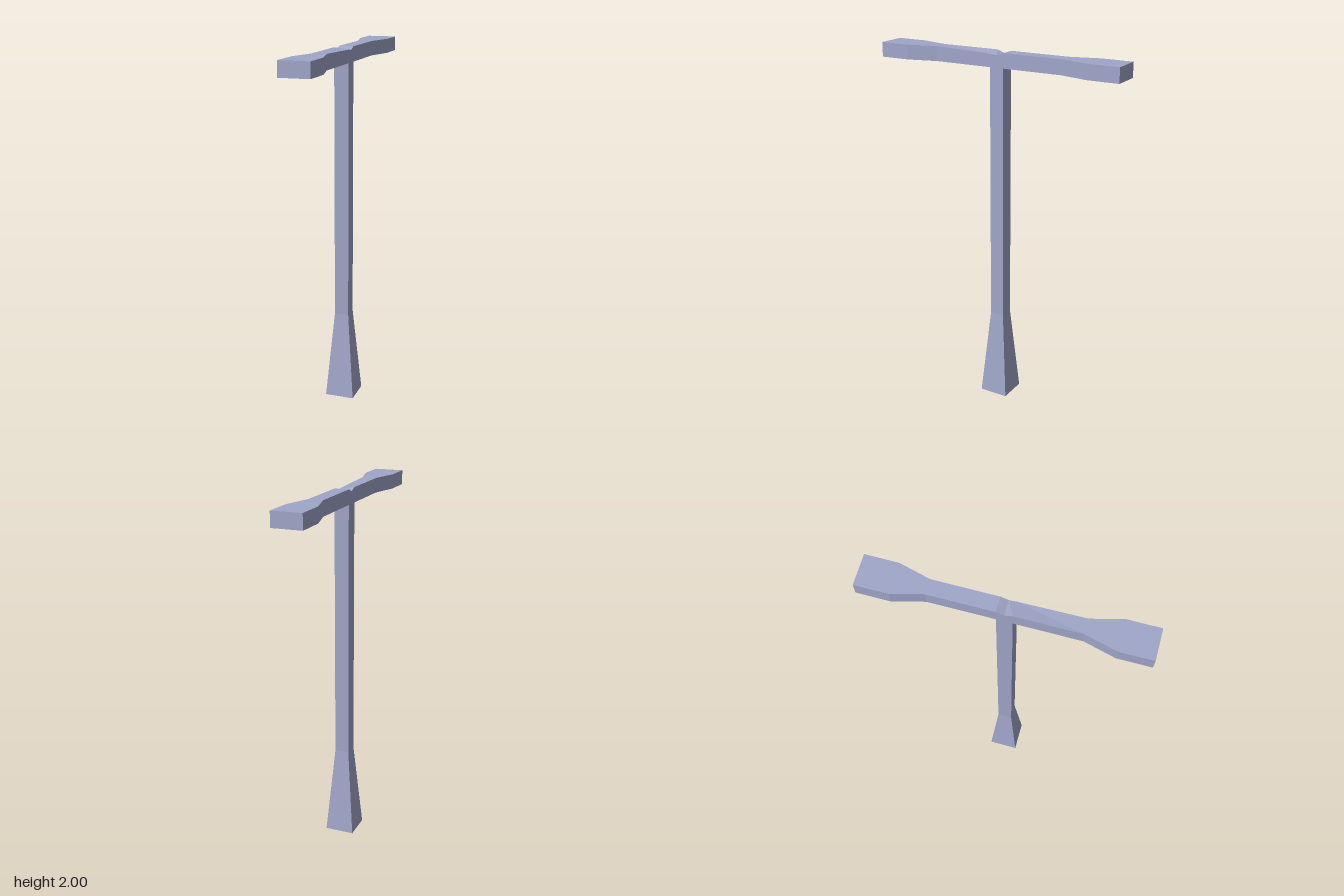
import * as THREE from 'three';

// Skin a list of four-cornered rings (counter-clockwise seen from the far end) and cap both ends
function loft(rings) {
  const pos = [];
  const quad = (a, b, c, d) => pos.push(...a, ...b, ...c, ...a, ...c, ...d);
  for (let r = 0; r < rings.length - 1; r++) {
    const a = rings[r], b = rings[r + 1];
    for (let i = 0; i < 4; i++) {
      const j = (i + 1) % 4;
      quad(a[i], a[j], b[j], b[i]);
    }
  }
  const first = rings[0], last = rings[rings.length - 1];
  quad(first[3], first[2], first[1], first[0]);
  quad(last[0], last[1], last[2], last[3]);
  const geo = new THREE.BufferGeometry();
  geo.setAttribute('position', new THREE.Float32BufferAttribute(pos, 3));
  geo.computeVertexNormals();
  return geo;
}

export function createModel() {
  const metal = new THREE.MeshStandardMaterial({ color: 0x9fa6c8 });
  metal.name = 'blue grey metal';
  const glass = new THREE.MeshStandardMaterial({ color: 0xc8c5bb });
  glass.name = 'warm grey glass';

  const group = new THREE.Group();
  group.name = 'streetLamp';
  const add = (name, geo, mat) => {
    const mesh = new THREE.Mesh(geo, mat);
    mesh.name = name;
    group.add(mesh);
    return mesh;
  };

  const thin = 0.04, wide = 0.082;
  const under = 1.92, top = 2;

  // Square post with a flared foot: [height, half width]
  const post = [[0, wide], [0.5, thin], [under, thin]];
  add('post', loft(post.map(([y, w]) =>
    [[w, y, w], [w, y, -w], [-w, y, -w], [-w, y, w]])), metal);

  // Cross arm with a lamp head at each end: [z, half width, top at +x, top at -x]
  const arm = [
    [-0.707, wide, top, top],
    [-0.535, wide, top, top],
    [-0.375, thin, top, top],
    [-0.04, thin, top, top],
    [0, thin, 1.985, 1.985],
    [0.04, thin, 1.99, top],
    [0.375, thin, top, top],
    [0.535, wide, top, top],
    [0.707, wide, top, top],
  ];
  add('crossArm', loft(arm.map(([z, w, l, r]) =>
    [[w, under, z], [w, l, z], [-w, r, z], [-w, under, z]])), metal);

  // Glass panel under each lamp head
  const outline = new THREE.Shape([
    [-thin, 0.375], [thin, 0.375], [wide, 0.535],
    [wide, 0.707], [-wide, 0.707], [-wide, 0.535],
  ].map(([x, z]) => new THREE.Vector2(x, z)));
  const panel = new THREE.ShapeGeometry(outline).rotateX(Math.PI / 2);
  for (const [name, turn] of [['frontLampGlass', 0], ['backLampGlass', Math.PI]]) {
    const lens = add(name, panel, glass);
    lens.position.y = under - 0.002;
    lens.rotation.y = turn;
  }
  return group;
}
